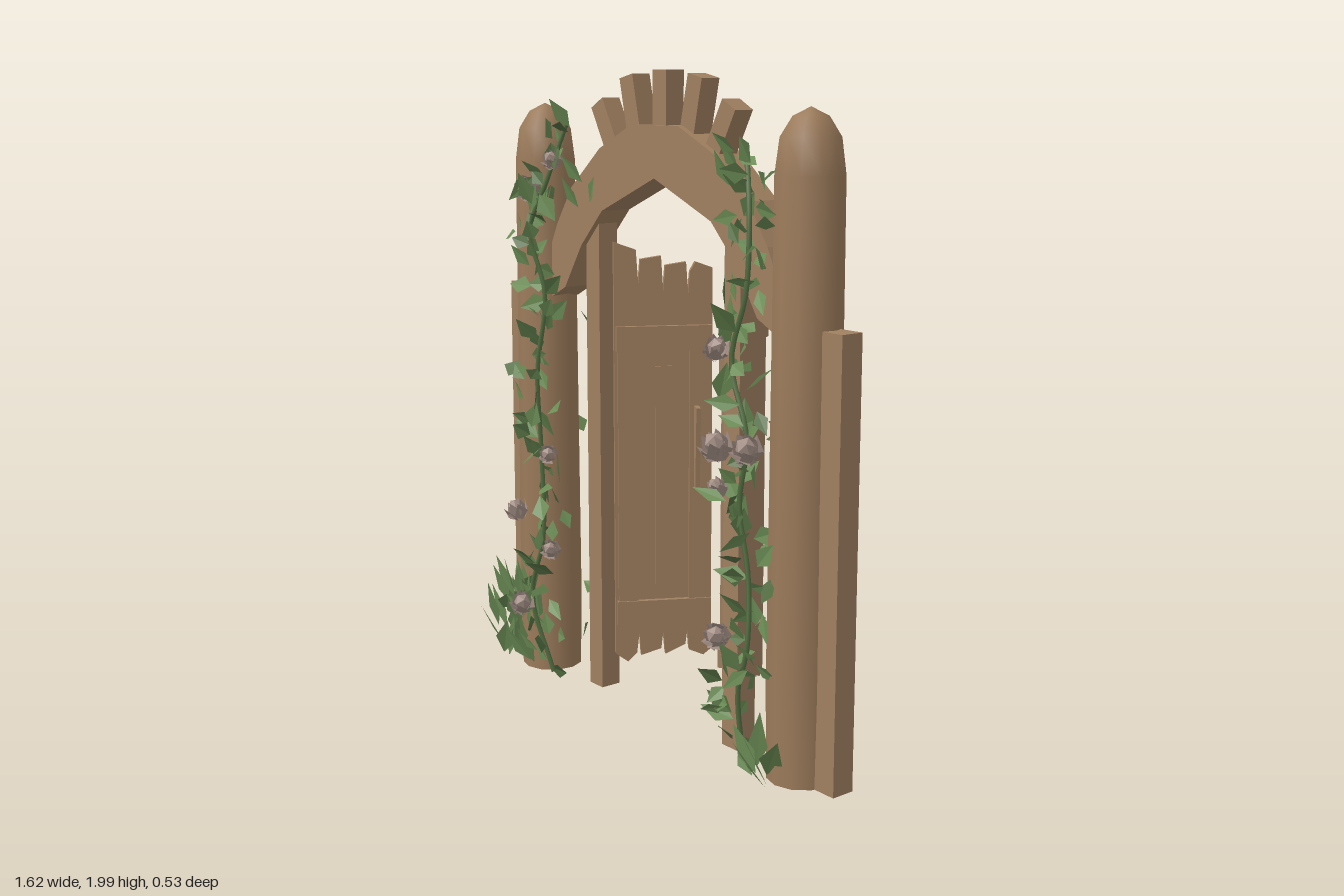
import * as THREE from 'three';
import { mergeGeometries, toCreasedNormals } from 'three/addons/utils/BufferGeometryUtils.js';

const paint = (name, color, extra = {}) => {
  const m = new THREE.MeshStandardMaterial({ color, ...extra });
  m.name = name;
  return m;
};

export function createModel() {
  const wood = paint('wood', 0xa08060, { flatShading: true });
  const logWood = paint('log wood', 0x9c7b5b);
  const leafGreen = paint('leaf green', 0x6b8c55, { side: THREE.DoubleSide });
  const darkGreen = paint('dark leaf green', 0x546f42, { side: THREE.DoubleSide });
  const petal = paint('dusty petal', 0xa8938a, { side: THREE.DoubleSide });

  const root = new THREE.Group();
  root.name = 'gardenGate';
  const add = (name, geo, mat, parent = root) => {
    const m = new THREE.Mesh(geo, mat);
    m.name = name;
    parent.add(m);
    return m;
  };
  // Box given by its limits on each axis
  const box = (name, x0, x1, y0, y1, z0, z1, parent = root, mat = wood) => {
    const m = add(name, new THREE.BoxGeometry(x1 - x0, y1 - y0, z1 - z0), mat, parent);
    m.position.set((x0 + x1) / 2, (y0 + y1) / 2, (z0 + z1) / 2);
    return m;
  };
  const extrude = (pts, depth) => {
    const g = new THREE.ExtrudeGeometry(
      new THREE.Shape(pts.map(p => new THREE.Vector2(p[0], p[1]))), { depth, bevelEnabled: false });
    return g.translate(0, 0, -depth / 2);
  };
  let seed = 7;
  const rand = (a = 0, b = 1) => {
    seed = (seed * 16807) % 2147483647;
    return a + (b - a) * seed / 2147483647;
  };

  // Rounded log posts, outer planks and slim door posts
  const postProfile = [[0, 0.01], [0.1, 0.01], [0.104, 0.3], [0.1, 1], [0.097, 1.72], [0.084, 1.82], [0.05, 1.875], [0, 1.9]]
    .map(p => new THREE.Vector2(p[0], p[1]));
  for (const s of [-1, 1]) {
    const log = toCreasedNormals(new THREE.LatheGeometry(postProfile, 11), 0.75);
    add('logPost', log, logWood).position.set(s * 0.62, 0, 0.012);
    const x = s * 0.745;
    box('outerPlank', x - 0.042, x + 0.042, 0.01, 1.31, -0.03, 0.045);
    box('doorPost', s * 0.335 - 0.034, s * 0.335 + 0.034, 0.01, 1.56, -0.035, 0.035);
  }

  // Arch beam
  const outer = [[0.55, 1.42], [0.5, 1.52], [0.42, 1.64], [0.27, 1.765], [0.11, 1.84]];
  const inner = [[0, 1.685], [0.26, 1.575], [0.37, 1.46], [0.46, 1.32], [0.54, 1.28]];
  const flip = a => a.map(p => [-p[0], p[1]]);
  add('arch', extrude([...inner, ...outer, ...flip(outer).reverse(), ...flip(inner).slice(1).reverse()], 0.108), wood);

  // Upright blocks fanned over the arch
  for (const [x, y, a] of [[0, 1.9, 0], [0.14, 1.885, 0.22], [0.262, 1.815, 0.5]])
    for (const s of x ? [-1, 1] : [1]) {
      const b = box('archBlock', -0.032, 0.032, -0.1, 0.1, -0.033, 0.033);
      b.position.set(s * x, y, 0);
      b.rotation.z = -s * a;
    }

  // Open doors: ragged planks with a raised frame
  const ragged = [[0, 0.13], [0.04, 0.1], [0.07, 0.13], [0.078, 0.2], [0.084, 0.12], [0.15, 0.14], [0.157, 0.2],
    [0.164, 0.12], [0.23, 0.15], [0.237, 0.2], [0.243, 0.13], [0.29, 0.11], [0.315, 0.13],
    [0.315, 1.39], [0.26, 1.41], [0.243, 1.38], [0.237, 1.31], [0.23, 1.41], [0.164, 1.4], [0.157, 1.32],
    [0.15, 1.43], [0.084, 1.42], [0.078, 1.34], [0.07, 1.45], [0, 1.475]];
  for (const s of [-1, 1]) {
    const door = new THREE.Group();
    door.name = s > 0 ? 'leftDoor' : 'rightDoor';
    door.position.x = s * 0.275;
    door.rotation.y = s > 0 ? Math.PI - 1.06 : 1.06;
    root.add(door);
    add('doorPlanks', extrude(ragged, 0.022), wood, door);
    // Inner face
    const face = (name, x0, x1, y0, y1, t) =>
      box(name, x0, x1, y0, y1, s > 0 ? -0.01 - t : 0.01, s > 0 ? -0.01 : 0.01 + t, door);
    face('doorStile', 0.01, 0.075, 0.31, 1.13, 0.012);
    face('doorStile', 0.24, 0.31, 0.31, 1.13, 0.012);
    face('doorRail', 0.005, 0.312, 0.23, 0.31, 0.018);
    face('doorRail', 0.005, 0.312, 1.13, 1.21, 0.018);
    face('doorPanel', 0.13, 0.185, 0.36, 1.08, 0.007);
    // Outer face
    const zo = s > 0 ? [0.01, 0.02] : [-0.02, -0.01];
    box('outerRail', 0.003, 0.314, 0.24, 0.3, ...zo, door);
    box('outerRail', 0.003, 0.314, 1.2, 1.26, ...zo, door);
    const handle = face('doorHandle', 0.255, 0.27, 0.68, s > 0 ? 0.72 : 0.95, 0.045);
    handle.rotation.x = -s * 0.06;
  }

  // Folded leaf pointing along +y
  const leafGeo = (len, w) => {
    const b = [0, 0, 0], t = [0, len, 0.1 * len], l = [-w, len * 0.4, 0.3 * w], r = [w, len * 0.4, 0.3 * w];
    const g = new THREE.BufferGeometry();
    g.setAttribute('position', new THREE.Float32BufferAttribute([b, r, t, b, t, l].flat(), 3));
    g.computeVertexNormals();
    return g;
  };
  const place = (g, pos, rx, ry, rz) => g.applyMatrix4(new THREE.Matrix4().compose(
    pos, new THREE.Quaternion().setFromEuler(new THREE.Euler(rx, ry, rz, 'ZYX')), new THREE.Vector3(1, 1, 1)));

  // Climbing vines: stem, leaves in front and a sparser set behind
  const vine = (side, path) => {
    const curve = new THREE.CatmullRomCurve3(path.map(p => new THREE.Vector3(...p)));
    add('vineStem', new THREE.TubeGeometry(curve, 40, 0.008, 5), darkGreen);
    const sets = [[], []];
    for (let i = 0; i < 92; i++) {
      const p = curve.getPoint((i + rand()) / 92);
      p.x += rand(-0.05, 0.05);
      p.z += rand(-0.05, 0.04);
      sets[i % 3 ? 0 : 1].push(place(leafGeo(rand(0.06, 0.11), rand(0.02, 0.034)),
        p, rand(-0.5, 0.9), rand(-1, 1), rand(-2.6, 2.6)));
    }
    for (let i = 0; i < 26; i++) {
      const p = new THREE.Vector3(side * rand(0.4, 0.54), i < 4 ? rand(0.15, 0.35) : rand(0.8, 1.8), rand(-0.11, -0.06));
      sets[i % 2].push(place(leafGeo(rand(0.06, 0.1), rand(0.02, 0.03)),
        p, rand(-0.5, 0.5), Math.PI + rand(-0.9, 0.9), rand(-2.6, 2.6)));
    }
    add('vineLeaves', mergeGeometries(sets[0]), leafGreen);
    add('vineDarkLeaves', mergeGeometries(sets[1]), darkGreen);
  };
  vine(-1, [[-0.46, 0.04, 0.12], [-0.52, 0.3, 0.16], [-0.48, 0.5, 0.14], [-0.5, 0.8, 0.13], [-0.5, 1.05, 0.14],
    [-0.48, 1.3, 0.12], [-0.53, 1.5, 0.14], [-0.46, 1.64, 0.13], [-0.42, 1.84, 0.07]]);
  vine(1, [[0.47, 0.04, 0.1], [0.48, 0.25, 0.13], [0.54, 0.4, 0.15], [0.52, 0.6, 0.13], [0.48, 0.8, 0.13],
    [0.52, 1.0, 0.14], [0.43, 1.2, 0.12], [0.5, 1.4, 0.13], [0.5, 1.6, 0.12], [0.43, 1.78, 0.07]]);
  // Sprigs over the arch
  add('archLeaves', mergeGeometries([[-0.3, 1.6], [-0.34, 1.66], [-0.36, 1.58], [0.36, 1.68], [0.4, 1.72], [0.42, 1.6]]
    .map(([x, y]) => place(leafGeo(0.11, 0.03), new THREE.Vector3(x, y, 0.07), 0.2, rand(-0.4, 0.4), rand(-0.8, 0.8)))), leafGreen);

  // Long upright leaves at the post feet
  const clump = (x0, x1, n, low, high, yTop) => {
    const g = [];
    for (let i = 0; i < n; i++)
      g.push(place(leafGeo(rand(low, high), rand(0.024, 0.036)),
        new THREE.Vector3(rand(x0, x1), rand(0.01, yTop), rand(0.1, 0.17)), rand(0, 0.4), rand(-0.7, 0.7), rand(-0.6, 0.6)));
    add('groundLeaves', mergeGeometries(g), leafGreen);
  };
  clump(-0.75, -0.54, 26, 0.12, 0.18, 0.3);
  clump(0.54, 0.66, 6, 0.13, 0.2, 0.07);

  // Roses: a faceted bud inside two rings of cupped petals
  const rose = (x, y, z, r) => {
    const g = new THREE.Group();
    g.name = 'rose';
    g.position.set(x, y, z);
    g.rotation.set(rand(0.3, 1.2), 0, rand(-0.6, 0.6));
    g.scale.setScalar(r);
    root.add(g);
    add('roseBud', new THREE.IcosahedronGeometry(0.62, 0).scale(1, 1.25, 1), petal, g);
    const petals = [];
    for (let i = 0; i < 9; i++) {
      const p = leafGeo(1.5, 0.6).translate(0, -0.85, i < 5 ? 0.62 : 0.45).rotateX(i < 5 ? 0.35 : 0.1);
      petals.push(p.rotateY(i * Math.PI * 2 / 4.5));
    }
    add('rosePetals', mergeGeometries(petals), petal, g);
  };
  [[-0.52, 1.64, 0.16, 0.045], [-0.42, 1.73, 0.13, 0.035], [-0.43, 0.79, 0.15, 0.035], [-0.41, 0.48, 0.16, 0.036],
    [-0.6, 0.58, 0.165, 0.042], [-0.52, 0.28, 0.2, 0.045], [0.4, 1.24, 0.15, 0.042], [0.42, 0.97, 0.17, 0.052],
    [0.55, 0.98, 0.17, 0.05], [0.39, 0.84, 0.14, 0.035], [0.44, 0.42, 0.18, 0.045]].forEach(a => rose(...a));

  return root;
}
